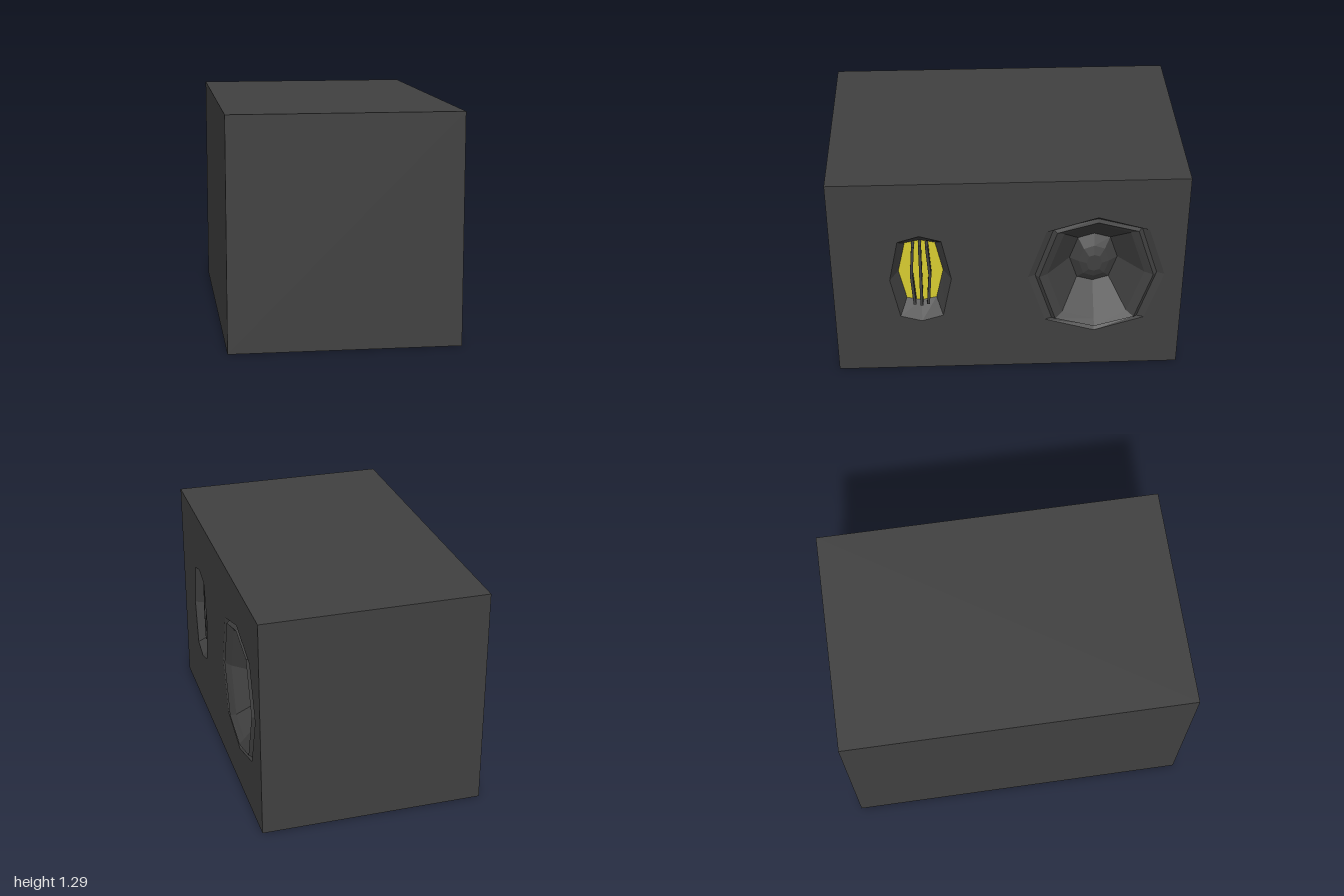
import * as THREE from 'three';

const HEIGHT = 1.295, LENGTH = 2, BACK = -0.647, FACE = 0.643;

// Eight-sided loop: half width, half height, diagonal corner x and y, depth
function loop([w, h, dx, dy, z]) {
  return [[w, 0], [dx, dy], [0, h], [-dx, dy], [-w, 0], [-dx, -dy], [0, -h], [dx, -dy]]
    .map(([x, y]) => new THREE.Vector3(x, y, z));
}

// Faceted skin through loops listed from the outside in, optionally closed
function skin(rings, closed) {
  const pts = [];
  const loops = rings.map(loop);
  for (let r = 0; r < loops.length - 1; r++) {
    const a = loops[r], b = loops[r + 1];
    for (let i = 0; i < 8; i++) {
      const j = (i + 1) % 8;
      pts.push(a[i], a[j], b[j], a[i], b[j], b[i]);
    }
  }
  if (closed) {
    const c = loops[loops.length - 1];
    for (let i = 1; i < 7; i++) pts.push(c[0], c[i], c[i + 1]);
  }
  const g = new THREE.BufferGeometry().setFromPoints(pts);
  g.computeVertexNormals();
  return g;
}

export function createModel() {
  const charcoal = new THREE.MeshStandardMaterial({ color: 0x404040 });
  const yellow = new THREE.MeshStandardMaterial({ color: 0xd8cc30 });

  const model = new THREE.Group();
  model.name = 'speaker';
  function add(parent, name, geometry, material) {
    const m = new THREE.Mesh(geometry, material);
    m.name = name;
    parent.add(m);
    return m;
  }

  // Cabinet: box without its +x face, which the baffle closes
  const box = new THREE.BoxGeometry(FACE - BACK, HEIGHT, LENGTH);
  box.setIndex(Array.from(box.index.array).slice(6));
  box.clearGroups();
  add(model, 'cabinet', box, charcoal).position.set((FACE + BACK) / 2, HEIGHT / 2, 0);

  // Everything on the baffle is laid out in its own plane, outward is +z
  const front = new THREE.Group();
  front.name = 'baffleAssembly';
  front.rotation.y = Math.PI / 2;
  front.position.set(FACE, 0.65, 0);
  model.add(front);

  const surroundRings = [
    [0.39, 0.4, 0.289, 0.31, 0],
    [0.348, 0.38, 0.248, 0.314, -0.02],
    [0.326, 0.368, 0.228, 0.304, 0.004],
    [0.278, 0.335, 0.187, 0.278, -0.025],
  ];
  const coneRings = [surroundRings[3], [0.139, 0.168, 0.093, 0.139, -0.18]];
  const capRings = [
    coneRings[1],
    [0.088, 0.108, 0.06, 0.086, -0.14],
    [0.045, 0.056, 0.031, 0.045, -0.12],
  ];
  const hornRings = [
    [0.175, 0.3, 0.123, 0.262, 0],
    [0.128, 0.214, 0.086, 0.195, -0.09],
  ];

  // Baffle with an opening for each driver
  const panel = new THREE.Shape();
  panel.moveTo(-LENGTH / 2, -0.65);
  panel.lineTo(LENGTH / 2, -0.65);
  panel.lineTo(LENGTH / 2, HEIGHT - 0.65);
  panel.lineTo(-LENGTH / 2, HEIGHT - 0.65);
  panel.closePath();
  for (const [rings, x] of [[surroundRings, 0.5], [hornRings, -0.5]]) {
    const pts = loop(rings[0]).map(p => new THREE.Vector2(p.x + x, p.y));
    panel.holes.push(new THREE.Path(pts.reverse()));
  }
  add(front, 'baffle', new THREE.ShapeGeometry(panel), charcoal);

  // Woofer
  const woofer = new THREE.Group();
  woofer.name = 'woofer';
  woofer.position.x = 0.5;
  front.add(woofer);
  add(woofer, 'surround', skin(surroundRings, false), charcoal);
  add(woofer, 'cone', skin(coneRings, false), charcoal);
  add(woofer, 'dustCap', skin(capRings, true), charcoal);

  // Tweeter horn with a bright panel behind bowed fins
  const tweeter = new THREE.Group();
  tweeter.name = 'tweeter';
  tweeter.position.x = -0.5;
  front.add(tweeter);
  add(tweeter, 'horn', skin(hornRings, false), charcoal);
  add(tweeter, 'hornPanel', skin([hornRings[1]], true), yellow);
  for (const side of [-1, 0, 1]) {
    const mid = side * 0.053, end = side * 0.039, half = side ? 0.203 : 0.214, t = 0.008;
    const fin = new THREE.Shape([
      [end - t, -half], [end + t, -half], [mid + t, 0],
      [end + t, half], [end - t, half], [mid - t, 0],
    ].map(([x, y]) => new THREE.Vector2(x, y)));
    const g = new THREE.ExtrudeGeometry(fin, { depth: 0.06, bevelEnabled: false });
    add(tweeter, 'hornFin', g, charcoal).position.z = -0.092;
  }
  return model;
}
